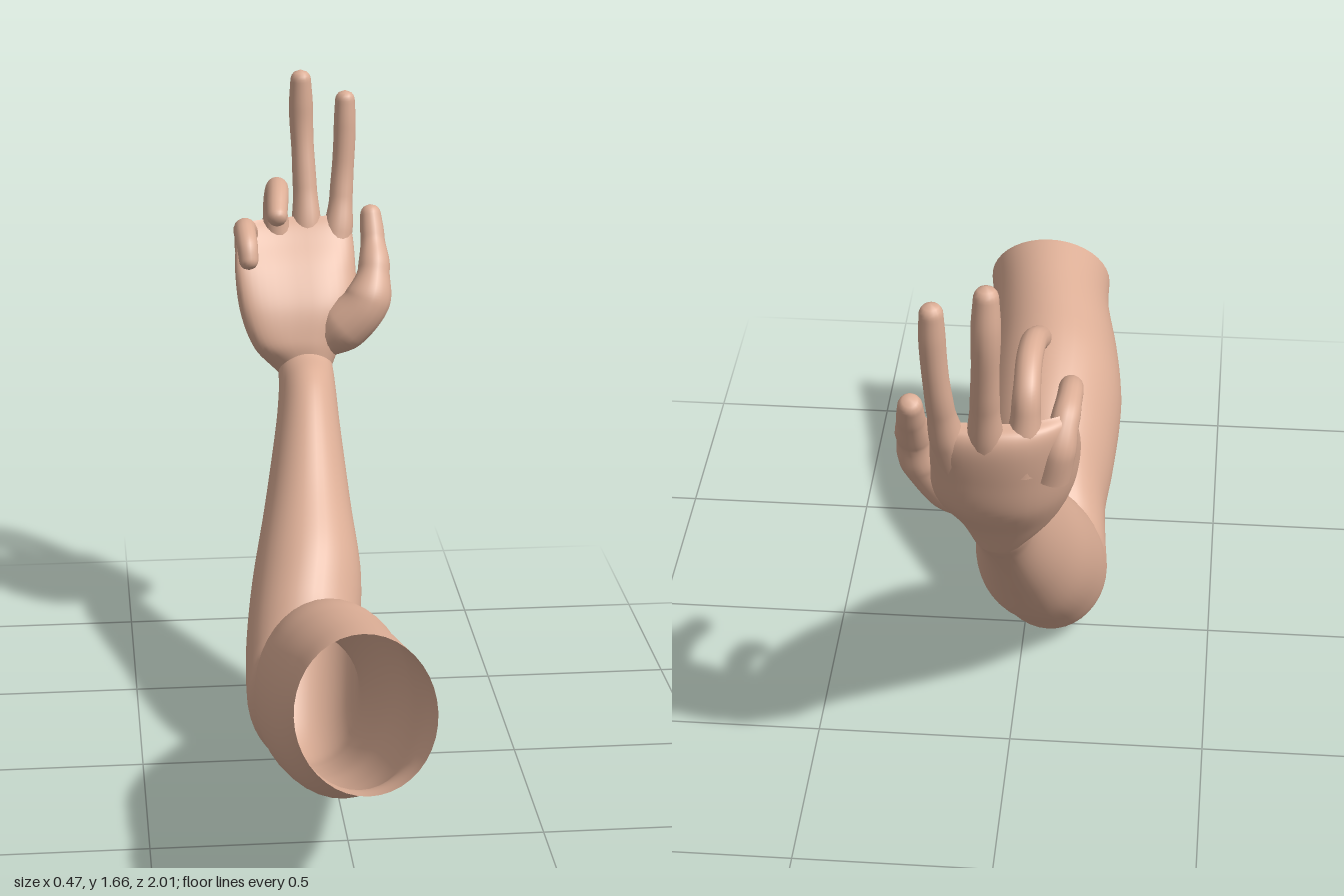
import * as THREE from 'three';
import { mergeVertices } from 'three/addons/utils/BufferGeometryUtils.js';

const skin = new THREE.MeshStandardMaterial({ color: 0xdcae96, side: THREE.DoubleSide });
skin.name = 'skin';

// Lofts rings through sections [innerZ, innerY, outerZ, outerY, centreX, halfWidth]
function loft(sections, rows, power = 1, cup = 0) {
  const curve = (f) => new THREE.CatmullRomCurve3(sections.map(f), false, 'catmullrom', 0.5);
  const inner = curve((s) => new THREE.Vector3(s[4], s[1], s[0]));
  const outer = curve((s) => new THREE.Vector3(s[4], s[3], s[2]));
  const width = curve((s) => new THREE.Vector3(s[5], 0, 0));
  const sides = 40, pos = [], index = [];
  const round = (v) => Math.sign(v) * Math.abs(v) ** power;
  for (let i = 0; i <= rows; i++) {
    const a = inner.getPoint(i / rows), b = outer.getPoint(i / rows);
    const w = width.getPoint(i / rows).x;
    const mid = a.clone().add(b).multiplyScalar(0.5), half = a.clone().sub(mid);
    for (let j = 0; j < sides; j++) {
      const t = (j / sides) * Math.PI * 2;
      const p = mid.clone().addScaledVector(half, round(Math.sin(t)));
      p.x += w * round(Math.cos(t));
      if (p.x < 0) p.z += cup * p.x * p.x;
      pos.push(p.x, p.y, p.z);
      if (i < rows) {
        const k = (j + 1) % sides, r = i * sides, n = r + sides;
        index.push(r + j, n + j, r + k, r + k, n + j, n + k);
      }
    }
  }
  const g = new THREE.BufferGeometry();
  g.setAttribute('position', new THREE.Float32BufferAttribute(pos, 3));
  g.setIndex(index);
  g.computeVertexNormals();
  return g;
}

// Tapered tube with a rounded tip; radii are spread evenly along the path
function digit(points, radii) {
  const path = new THREE.CatmullRomCurve3(points.map((p) => new THREE.Vector3(...p)));
  const rows = 70, sides = 16;
  const g = new THREE.TubeGeometry(path, rows, 1, sides, false);
  const pos = g.attributes.position, nor = g.attributes.normal;
  const tipStart = 1 - radii[radii.length - 1] / path.getLength();
  for (let v = 0; v < pos.count; v++) {
    const t = Math.floor(v / (sides + 1)) / rows;
    const f = t * (radii.length - 1), i = Math.min(Math.floor(f), radii.length - 2);
    let r = THREE.MathUtils.lerp(radii[i], radii[i + 1], THREE.MathUtils.smoothstep(f - i, 0, 1));
    if (t > tipStart) r *= Math.sqrt(Math.max(0, 1 - ((t - tipStart) / (1 - tipStart)) ** 2));
    const k = r - 1;
    pos.setXYZ(v, pos.getX(v) + nor.getX(v) * k, pos.getY(v) + nor.getY(v) * k, pos.getZ(v) + nor.getZ(v) * k);
  }
  g.deleteAttribute('uv');
  g.deleteAttribute('normal');
  const welded = mergeVertices(g, 1e-5);
  welded.computeVertexNormals();
  return welded;
}

export function createModel() {
  const model = new THREE.Group();
  model.name = 'bentArm';
  const add = (name, geometry, parent = model) => {
    const mesh = new THREE.Mesh(geometry, skin);
    mesh.name = name;
    parent.add(mesh);
  };

  // Upper arm (open at the shoulder), elbow and forearm
  add('arm', loft([
    [0.855, 0.715, 1.0, 0.365, 0, 0.17],
    [0.75, 0.70, 0.88, 0.325, -0.01, 0.165],
    [0.6, 0.675, 0.71, 0.222, -0.03, 0.18],
    [0.46, 0.645, 0.52, 0.155, -0.04, 0.19],
    [0.3, 0.58, 0.33, 0.095, -0.04, 0.18],
    [0.19, 0.51, 0.19, 0.045, -0.045, 0.16],
    [0.09, 0.43, 0.09, 0.015, -0.06, 0.152],
    [0.03, 0.38, 0.01, 0.005, -0.07, 0.15],
    [0.0, 0.41, -0.08, 0.045, -0.07, 0.15],
    [-0.05, 0.475, -0.19, 0.145, -0.06, 0.152],
    [-0.14, 0.57, -0.34, 0.285, -0.04, 0.147],
    [-0.29, 0.69, -0.49, 0.465, -0.025, 0.118],
    [-0.475, 0.845, -0.63, 0.64, -0.01, 0.09],
    [-0.58, 0.905, -0.71, 0.735, -0.003, 0.08],
    [-0.685, 0.925, -0.78, 0.815, 0, 0.075],
    [-0.73, 0.97, -0.81, 0.89, 0, 0.06],
  ], 110));

  const hand = new THREE.Group();
  hand.name = 'hand';
  model.add(hand);

  // Cupped palm, its little-finger side bending forward
  add('palm', loft([
    [-0.68, 0.905, -0.785, 0.815, 0, 0.07],
    [-0.685, 0.96, -0.835, 0.9, -0.02, 0.122],
    [-0.715, 1.05, -0.9, 1.0, -0.015, 0.165],
    [-0.775, 1.14, -0.93, 1.11, -0.02, 0.172],
    [-0.835, 1.205, -0.945, 1.2, -0.02, 0.168],
    [-0.87, 1.24, -0.935, 1.245, -0.02, 0.158],
    [-0.9, 1.262, -0.9, 1.262, -0.02, 0.13],
  ], 48, 0.85, 2), hand);

  // Two raised fingers
  add('indexFinger', digit([
    [0.085, 1.12, -0.87], [0.11, 1.24, -0.905], [0.122, 1.36, -0.935], [0.13, 1.48, -0.948], [0.132, 1.61, -0.955],
  ], [0.045, 0.042, 0.033, 0.031, 0.031, 0.027]), hand);
  add('middleFinger', digit([
    [0.01, 1.12, -0.88], [0.018, 1.24, -0.91], [0.015, 1.38, -0.945], [0.01, 1.52, -0.97], [0.008, 1.668, -0.967],
  ], [0.045, 0.042, 0.034, 0.032, 0.034, 0.028]), hand);

  // Two curled fingers
  add('ringFinger', digit([
    [-0.06, 1.13, -0.88], [-0.07, 1.24, -0.885], [-0.073, 1.33, -0.865], [-0.073, 1.371, -0.8],
    [-0.077, 1.372, -0.72], [-0.083, 1.345, -0.66], [-0.087, 1.32, -0.612],
  ], [0.045, 0.042, 0.034, 0.031, 0.031, 0.03, 0.027]), hand);
  add('littleFinger', digit([
    [-0.13, 1.1, -0.86], [-0.148, 1.19, -0.865], [-0.16, 1.245, -0.825], [-0.165, 1.258, -0.755],
    [-0.163, 1.235, -0.695], [-0.16, 1.175, -0.665],
  ], [0.045, 0.042, 0.034, 0.03, 0.029, 0.026]), hand);

  // Thumb with its fleshy base
  add('thumb', digit([
    [0.04, 0.93, -0.755], [0.11, 0.985, -0.745], [0.17, 1.05, -0.74], [0.195, 1.13, -0.77],
    [0.198, 1.21, -0.825], [0.194, 1.3, -0.872],
  ], [0.05, 0.072, 0.066, 0.045, 0.034, 0.028]), hand);
  return model;
}
